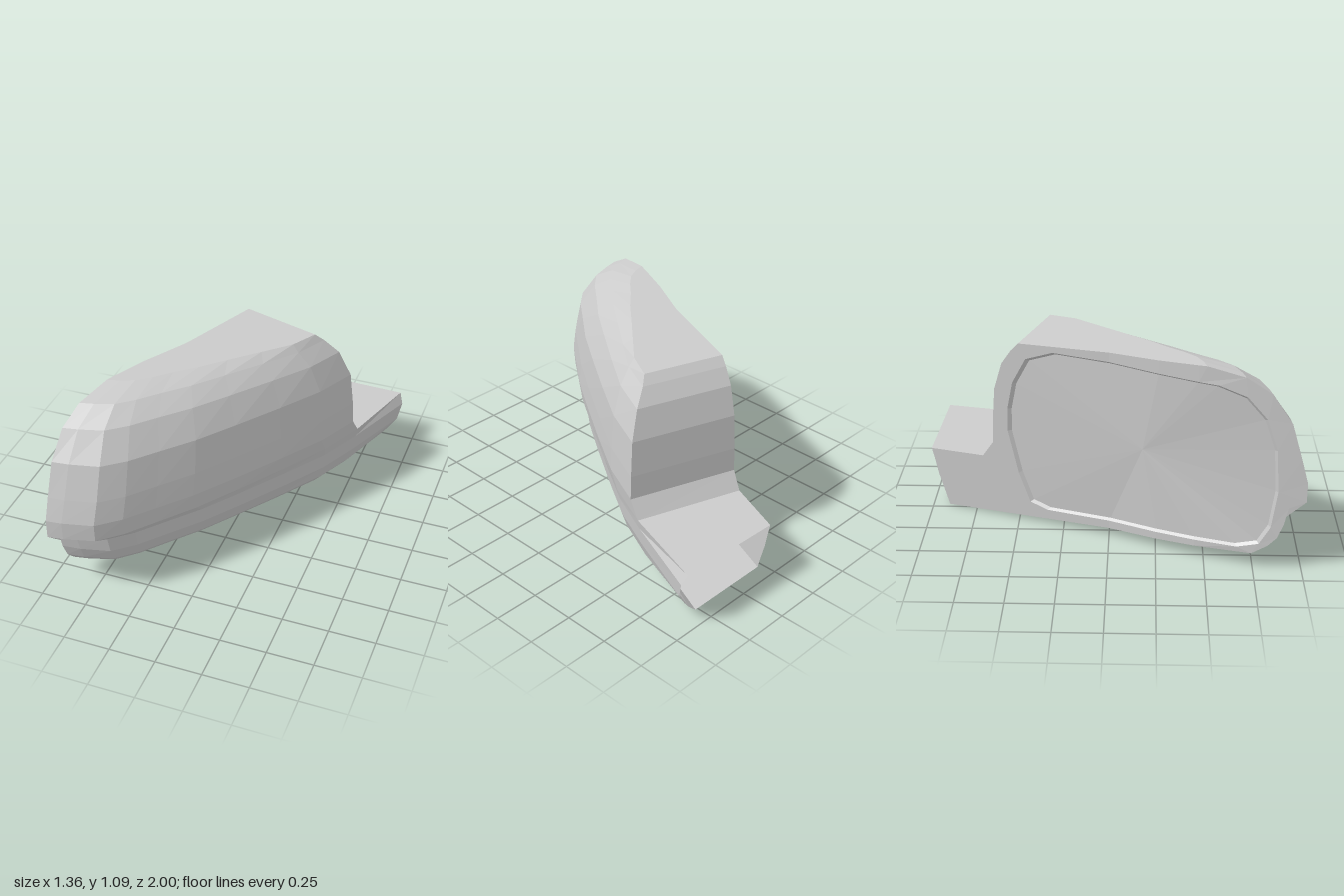
import * as THREE from 'three';
import { mergeVertices } from 'three/addons/utils/BufferGeometryUtils.js';

const mat = new THREE.MeshStandardMaterial({ color: 0xcccccc, flatShading: true, side: THREE.DoubleSide });

// Plan outline of the outer skin: fraction along the body from tip to root, fraction of full depth
const OUTER = [[0.02, 0.12], [0.07, 0.344], [0.146, 0.46], [0.245, 0.555], [0.364, 0.67],
  [0.508, 0.77], [0.68, 0.88], [0.844, 0.975], [1, 1]];

// Levels from bottom to top. y: height at z = 0, tip: z of the tip, root: z of the root, depth, p: taper
const SEAM = { y: 0.375, slope: 0.04, tip: 1.0, root: -0.70, depth: 0.60, p: 1 };
const UPPER = [
  SEAM,
  { y: 0.47, tip: 1.0, root: -0.64, depth: 0.61, p: 1 },
  { y: 0.60, tip: 0.965, root: -0.635, depth: 0.605, p: 1 },
  { y: 0.79, tip: 0.91, root: -0.62, depth: 0.59, p: 1.05 },
  { y: 0.94, tip: 0.81, root: -0.575, depth: 0.54, p: 1.25 },
  { y: 1.02, tip: 0.68, root: -0.52, depth: 0.48, p: 1.5 },
  { y: 1.062, tip: 0.49, root: -0.48, depth: 0.45, p: 1.85 },
];
// The lower body also runs on into the arm: inner and outer z of its end, and depth there
const LOWER = [
  { y: 0.047, tip: 0.74, depth: 0.45, p: 1.25, inEnd: -0.91, outEnd: -1.05, endDepth: 0.455 },
  { y: 0.10, tip: 0.82, depth: 0.515, p: 1.15, inEnd: -0.925, outEnd: -1.07, endDepth: 0.505 },
  { y: 0.15, tip: 0.865, depth: 0.555, p: 1.05, inEnd: -0.94, outEnd: -1.085, endDepth: 0.54 },
  { y: 0.23, tip: 0.895, depth: 0.58, p: 1, inEnd: -0.965, outEnd: -1.11, endDepth: 0.585 },
  { y: 0.325, tip: 0.915, depth: 0.59, p: 1, inEnd: -0.985, outEnd: -1.14, endDepth: 0.593 },
  { ...SEAM, inEnd: -1.0, outEnd: -1.155, endDepth: 0.565 },
].map((l) => ({ root: -0.70, ...l }));

// Slightly bowed inner wall, and a point at a given distance out from it
const chordX = (z) => -0.308 - 0.372 * z;
const innerX = (z) => chordX(z) - (z > 0 ? 0.2 * z * (1 - z) : 0);
function point(level, z, d = 0) {
  const x = d > 0 ? chordX(z) + 0.95 * d : innerX(z);
  const pz = z + 0.31 * d;
  return new THREE.Vector3(x, level.y + (level.slope ?? 0.05) * pz, pz);
}

function skinLine(l) {
  const line = [point(l, l.tip)];
  for (const [s, d] of OUTER) {
    line.push(point(l, THREE.MathUtils.lerp(l.tip, l.root, s), l.depth * d ** l.p));
  }
  line.push(l.outEnd ? point(l, l.outEnd, l.endDepth) : point(l, l.root));
  return line;
}

const innerEdge = (l) => [-0.3, 0, 0.25, 0.45].map((z) => point(l, z));

function meshFrom(name, triangles) {
  const geo = mergeVertices(new THREE.BufferGeometry().setFromPoints(triangles));
  geo.computeVertexNormals();
  const mesh = new THREE.Mesh(geo, mat);
  mesh.name = name;
  return mesh;
}

function loft(name, lines, closed = false) {
  const tris = [];
  const n = lines[0].length;
  for (let i = 0; i + 1 < lines.length; i++) {
    for (let j = 0; j < (closed ? n : n - 1); j++) {
      const k = (j + 1) % n;
      const [a, b, c, d] = [lines[i][j], lines[i][k], lines[i + 1][k], lines[i + 1][j]];
      tris.push(a, b, c, a, c, d);
    }
  }
  return meshFrom(name, tris);
}

function fan(name, loop) {
  const centre = loop.reduce((s, p) => s.add(p), new THREE.Vector3()).divideScalar(loop.length);
  return meshFrom(name, loop.flatMap((p, i) => [centre, p, loop[(i + 1) % loop.length]]));
}

// Joins two loops of different counts by stepping round both in order of angle about the glass centre
const CENTRE = { z: 0.16, y: 0.55 };
function zipLoops(name, outer, inner) {
  const sorted = (loop) => {
    const list = loop.map((p) => ({ p, a: Math.atan2(p.y - CENTRE.y, p.z - CENTRE.z) })).sort((s, t) => s.a - t.a);
    return [...list, { p: list[0].p, a: list[0].a + 2 * Math.PI }];
  };
  const [o, n] = [sorted(outer), sorted(inner)];
  const tris = [];
  let i = 0;
  let j = 0;
  while (i < o.length - 1 || j < n.length - 1) {
    if (j === n.length - 1 || (i < o.length - 1 && o[i + 1].a < n[j + 1].a)) {
      tris.push(o[i].p, o[i + 1].p, n[j].p);
      i++;
    } else {
      tris.push(o[i].p, n[j + 1].p, n[j].p);
      j++;
    }
  }
  return meshFrom(name, tris);
}

export function createModel() {
  const model = new THREE.Group();
  model.name = 'wingMirror';
  const top = UPPER[UPPER.length - 1];
  const bottom = LOWER[0];
  const seam = LOWER[LOWER.length - 1];

  // Outer skins
  const upperLines = UPPER.map(skinLine);
  const lowerLines = LOWER.map(skinLine);
  model.add(loft('upperHousing', upperLines));
  model.add(loft('lowerHousing', lowerLines));

  // Top and underside
  model.add(fan('housingTop', [...upperLines[upperLines.length - 1], ...innerEdge(top)]));
  model.add(fan('underside', [...lowerLines[0], point(bottom, bottom.inEnd), ...innerEdge(bottom)].reverse()));

  // Top and inner side of the arm, which is open at its end
  const [rootOut, endOut] = lowerLines[lowerLines.length - 1].slice(-2);
  const rootIn = point(seam, seam.root);
  const rootBottom = point(bottom, bottom.root);
  const armEnd = [...LOWER].reverse().map((l) => point(l, l.inEnd));
  model.add(meshFrom('armTop', [rootOut, endOut, armEnd[0], rootOut, armEnd[0], rootIn]));
  model.add(fan('armInnerSide', [rootIn, ...armEnd, rootBottom]));

  // Inner wall around the glass opening
  const outline = [
    ...LOWER.map((l) => point(l, l.tip)),
    ...UPPER.slice(1).map((l) => point(l, l.tip)),
    ...innerEdge(top),
    ...UPPER.map((l) => point(l, l.root)),
    rootBottom,
    ...innerEdge(bottom),
  ];
  const opening = [
    [0.55, 0.993], [0.69, 0.951], [0.79, 0.844], [0.845, 0.682], [0.859, 0.453], [0.831, 0.249],
    [0.776, 0.146], [0.665, 0.11], [0.45, 0.105], [0.25, 0.1], [0, 0.092], [-0.339, 0.085], [-0.436, 0.116],
    [-0.498, 0.282], [-0.553, 0.524], [-0.55, 0.656], [-0.519, 0.81], [-0.443, 0.956], [-0.297, 1.014],
    [0, 1.01], [0.25, 1.003], [0.45, 0.996],
  ];
  const ring = (scale, depth) => opening.map(([z0, y0]) => {
    const z = CENTRE.z + (z0 - CENTRE.z) * scale;
    return new THREE.Vector3(innerX(z) + 0.95 * depth, CENTRE.y + (y0 - CENTRE.y) * scale, z + 0.31 * depth);
  });
  const openingEdge = ring(1, 0);
  model.add(zipLoops('innerWall', outline, openingEdge));

  // Recessed glass with its sloping rim
  const glassEdge = ring(0.975, 0.015);
  model.add(loft('glassRim', [glassEdge, openingEdge], true));
  model.add(fan('mirrorGlass', [...glassEdge].reverse()));

  return model;
}
